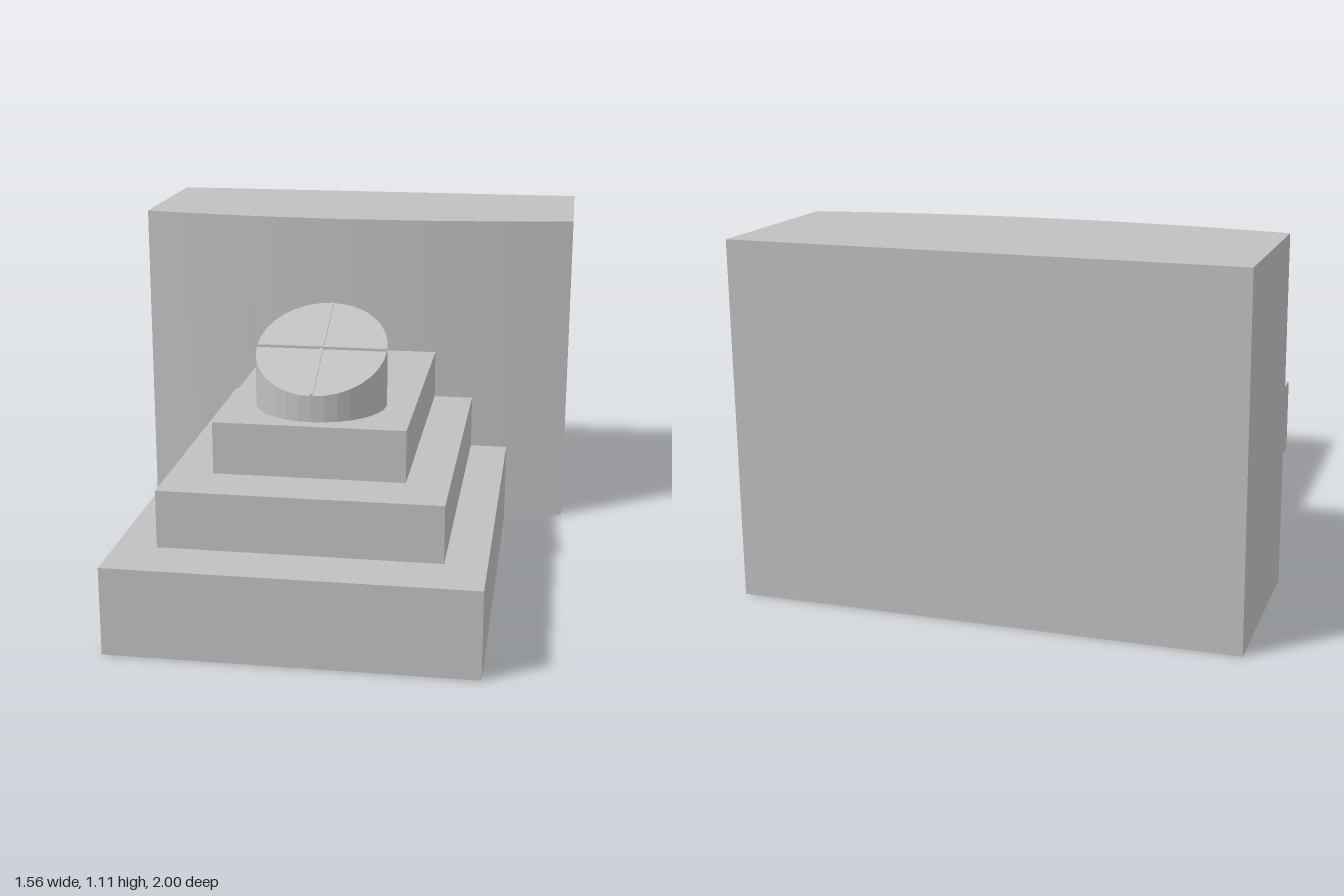
import * as THREE from 'three';

// Drops the underside triangles so a solid becomes a faceted, open-bottomed shell
function openShell(geometry) {
  const src = geometry.index ? geometry.toNonIndexed() : geometry;
  src.computeBoundingBox();
  const floor = src.boundingBox.min.y + 1e-4;
  const p = src.attributes.position;
  const kept = [];
  for (let i = 0; i < p.count; i += 3) {
    if ([0, 1, 2].every((k) => p.getY(i + k) < floor)) continue;
    for (let k = 0; k < 3; k++) kept.push(p.getX(i + k), p.getY(i + k), p.getZ(i + k));
  }
  const shell = new THREE.BufferGeometry();
  shell.setAttribute('position', new THREE.Float32BufferAttribute(kept, 3));
  shell.computeVertexNormals();
  return shell;
}

export function createModel() {
  const model = new THREE.Group();
  model.name = 'steppedMonument';
  const stone = new THREE.MeshStandardMaterial({ color: 0xc0c0c0, side: THREE.DoubleSide });
  stone.name = 'greyStone';

  const add = (name, geometry, x = 0, y = 0, z = 0) => {
    const mesh = new THREE.Mesh(geometry, stone);
    mesh.name = name;
    mesh.position.set(x, y, z);
    model.add(mesh);
    return mesh;
  };

  // Tall rear block with a gently bowed front
  const halfW = 0.78, blockH = 1.11, segments = 20;
  const plan = new THREE.Shape();
  plan.moveTo(-halfW, 1);
  for (let i = 0; i <= segments; i++) {
    const t = -1 + (2 * i) / segments;
    plan.lineTo(t * halfW, 0.335 + 0.075 * t * t);
  }
  plan.lineTo(halfW, 1);
  const block = new THREE.ExtrudeGeometry(plan, { depth: blockH, bevelEnabled: false });
  block.rotateX(-Math.PI / 2);
  add('rearBlock', openShell(block));

  // Three terraces, all sharing the same back plane
  const back = -0.335;
  const terraces = [
    ['lowerTerrace', 0.57, 0, 0.28, 1],
    ['middleTerrace', 0.44, 0.28, 0.463, 0.815],
    ['upperTerrace', 0.303, 0.463, 0.63, 0.63],
  ];
  for (const [name, half, y0, y1, front] of terraces) {
    const box = new THREE.BoxGeometry(half * 2, y1 - y0, front - back);
    add(name, openShell(box), 0, (y0 + y1) / 2, (front + back) / 2);
  }

  // Small panel behind the front wall of the lowest terrace
  add('innerPanel', new THREE.BoxGeometry(0.25, 0.145, 0.02), 0, 0.078, 0.98);

  // Round pedestal cut off at a slant
  const radius = 0.211, slope = 0.475, dialZ = 0.372, dialY = 0.814;
  const drumH = dialY - 0.63;
  const drum = new THREE.CylinderGeometry(radius, radius, drumH, 32);
  const p = drum.attributes.position;
  for (let i = 0; i < p.count; i++) {
    if (p.getY(i) > 0) p.setY(i, p.getY(i) - p.getZ(i) * slope);
  }
  add('dialPedestal', openShell(drum), 0, 0.63 + drumH / 2, dialZ);

  // Thin crossed bars on the slanted face
  add('dialCrossBar', new THREE.BoxGeometry(radius * 2 - 0.004, 0.009, 0.012), 0, dialY + 0.001, dialZ);
  const angle = Math.atan(slope);
  const upright = add('dialUprightBar',
    new THREE.BoxGeometry(0.012, 0.008, (radius * 2 - 0.008) / Math.cos(angle)), 0, dialY, dialZ);
  upright.rotation.x = angle;

  return model;
}
